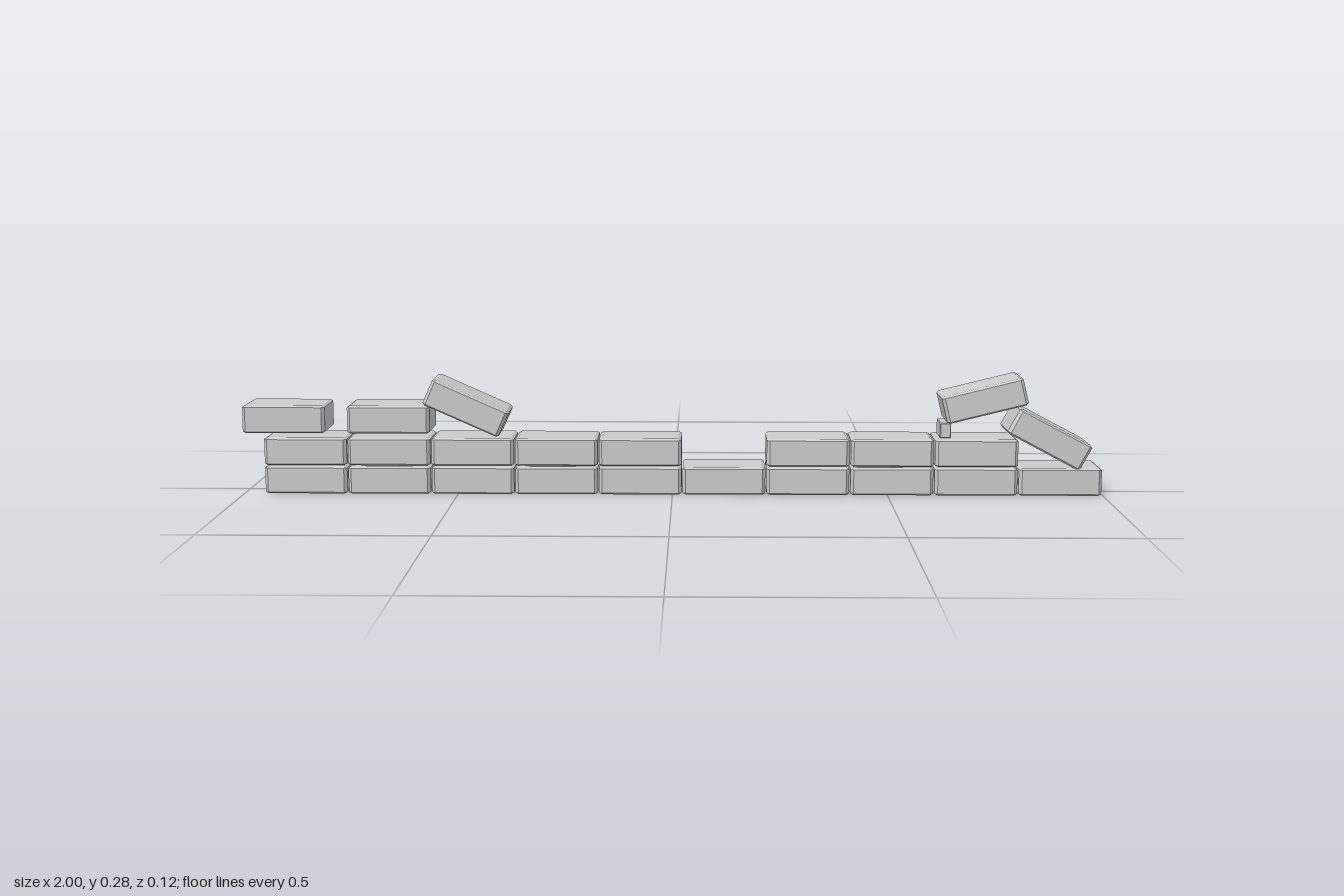
import * as THREE from 'three';
import { ConvexGeometry } from 'three/addons/geometries/ConvexGeometry.js';

const LENGTH = 0.192, HEIGHT = 0.065, DEPTH = 0.12, PITCH = 0.195;

// Box with every edge and corner chamfered, flat faces
function chamferedBox(w, h, d, cx = 0.007, cy = 0.004, cz = 0.007) {
  const points = [];
  for (const sx of [-1, 1]) for (const sy of [-1, 1]) for (const sz of [-1, 1]) {
    const [x, y, z] = [w / 2, h / 2, d / 2];
    points.push(
      new THREE.Vector3(sx * x, sy * (y - cy), sz * (z - cz)),
      new THREE.Vector3(sx * (x - cx), sy * y, sz * (z - cz)),
      new THREE.Vector3(sx * (x - cx), sy * (y - cy), sz * z));
  }
  return new ConvexGeometry(points);
}

export function createModel() {
  const wall = new THREE.Group();
  wall.name = 'brokenBrickWall';
  const material = new THREE.MeshStandardMaterial({ color: 0xcccccc, flatShading: true });
  const brickGeometry = chamferedBox(LENGTH, HEIGHT, DEPTH);

  function addBrick(name, x, y, tilt = 0, turn = 0) {
    const brick = new THREE.Mesh(brickGeometry, material);
    brick.name = name;
    brick.position.set(x, y, 0);
    brick.rotation.set(0, turn, THREE.MathUtils.degToRad(tilt));
    wall.add(brick);
  }

  // Two lower courses; the second has a gap and stops one brick short
  for (let i = 0; i < 10; i++) {
    const x = -0.855 + i * PITCH;
    addBrick('bottomBrick', x, HEIGHT / 2);
    if (i !== 5 && i !== 9) addBrick('secondCourseBrick', x, 0.0995);
  }

  // Loose bricks of the third course
  addBrick('topBrick', -0.904, 0.175);
  addBrick('topBrick', -0.66, 0.175);

  // Fallen, tilted bricks
  addBrick('tiltedBrick', -0.48, 0.202, -24);
  addBrick('tiltedBrick', 0.722, 0.222, 14);
  addBrick('leaningBrick', 0.873, 0.132, -28, 0.012);

  // Small fragment propping up a tilted brick
  const chip = new THREE.Mesh(chamferedBox(0.026, 0.036, 0.065, 0.002, 0.002, 0.002), material);
  chip.name = 'brickFragment';
  chip.position.set(0.633, 0.151, 0.012);
  wall.add(chip);

  return wall;
}
